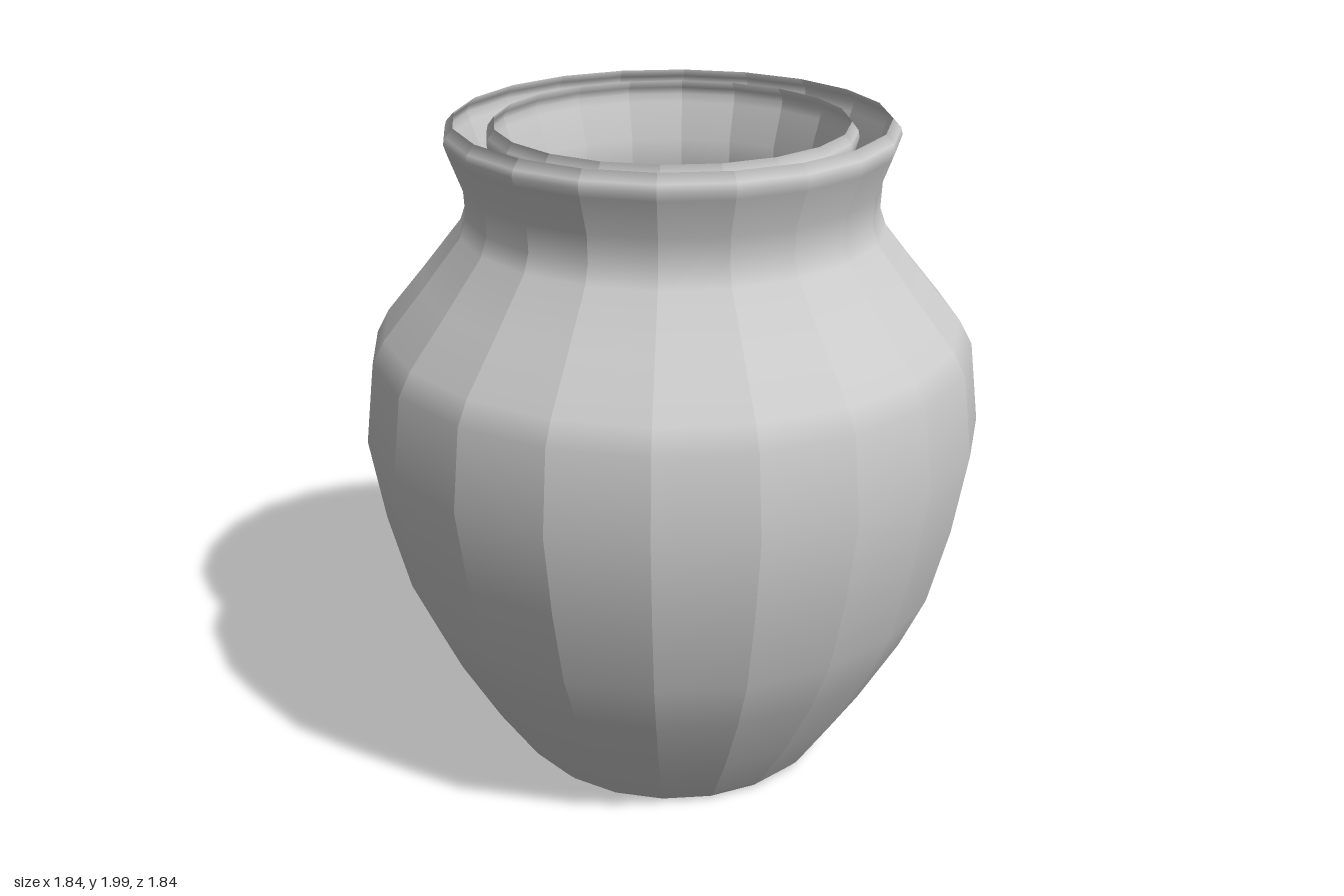
import * as THREE from 'three';

const SIDES = 20;
const grey = new THREE.MeshStandardMaterial({ color: 0xcccccc, side: THREE.DoubleSide });

// Silhouette as [radius, height], from foot to lip
const PROFILE = [
  [0.47, 0.01], [0.5, 0.04], [0.62, 0.22], [0.74, 0.43], [0.817, 0.6],
  [0.877, 0.84], [0.918, 1.09], [0.888, 1.33], [0.85, 1.4], [0.735, 1.54],
  [0.62, 1.685], [0.6, 1.74], [0.604, 1.82], [0.645, 1.93], [0.653, 1.955],
  [0.648, 1.975], [0.625, 2.0],
];

// Turned surface: flat facets around, smooth up the profile
function facetedLathe(points) {
  const geo = new THREE.LatheGeometry(points.map(([r, y]) => new THREE.Vector2(r, y)), SIDES).toNonIndexed();
  const p = geo.attributes.position, n = geo.attributes.normal;
  for (let i = 0; i < p.count; i += 3) {
    let sx = 0, sz = 0;
    for (let k = i; k < i + 3; k++) { sx += p.getX(k); sz += p.getZ(k); }
    const step = (Math.PI * 2) / SIDES;
    const a = (Math.floor(Math.atan2(sx, sz) / step) + 0.5) * step;
    for (let k = i; k < i + 3; k++) {
      const ny = n.getY(k);
      const along = n.getX(k) * Math.sin(a) + n.getZ(k) * Math.cos(a);
      const nr = Math.sign(along) * Math.sqrt(Math.max(0, 1 - ny * ny));
      n.setXYZ(k, nr * Math.sin(a), ny, nr * Math.cos(a));
    }
  }
  return geo;
}

export function createModel() {
  const jar = new THREE.Group();
  jar.name = 'jar';

  // Outer wall, open at lip and foot
  const outer = new THREE.Mesh(facetedLathe(PROFILE), grey);
  outer.name = 'outerWall';

  // Narrower lining nested inside, closed by a floor with a small rounded edge
  const floor = [[0, 0.01], [0.36, 0.01], [0.378, 0.013]];
  const wall = PROFILE.slice(1).map(([r, y]) => [r * 0.815, y - 0.01]);
  const inner = new THREE.Mesh(facetedLathe([...floor, ...wall]), grey);
  inner.name = 'innerLining';

  jar.add(outer, inner);
  return jar;
}
